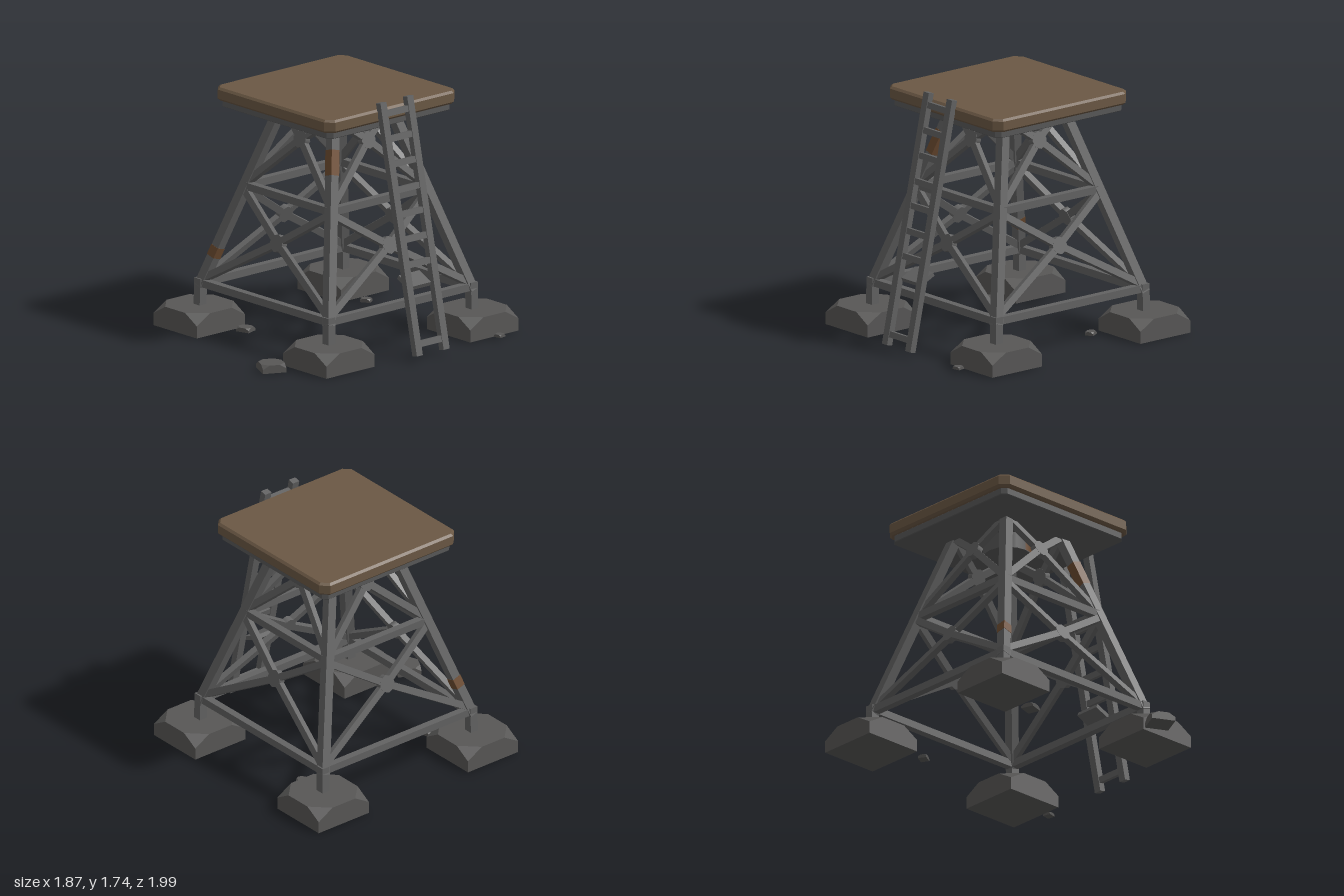
import * as THREE from 'three';
import { ConvexGeometry } from 'three/addons/geometries/ConvexGeometry.js';

const V = (x, y, z) => new THREE.Vector3(x, y, z);
const flat = (name, color) => {
  const m = new THREE.MeshStandardMaterial({ color });
  m.name = name;
  return m;
};

export function createModel() {
  const steel = flat('steel', 0x626262);
  const darkSteel = flat('dark steel', 0x585858);
  const concrete = flat('concrete', 0x585756);
  const brown = flat('brown deck', 0x6b5844);
  const rust = flat('rust', 0x6e4c31);

  const root = new THREE.Group();
  root.name = 'tower';
  const frame = new THREE.Group();
  frame.name = 'frame';
  frame.position.set(-0.066, 0, -0.128);
  root.add(frame);

  const add = (parent, name, geo, mat, x = 0, y = 0, z = 0) => {
    const m = new THREE.Mesh(geo, mat);
    m.name = name;
    m.position.set(x, y, z);
    parent.add(m);
    return m;
  };

  // Square bar from a to b; its depth runs along the hint direction
  const beam = (parent, name, a, b, w, d, mat = steel, hint = V(0, 0, 1)) => {
    const dir = b.clone().sub(a);
    const len = dir.length();
    dir.normalize();
    const side = dir.clone().cross(hint).normalize();
    const out = side.clone().cross(dir);
    const m = add(parent, name, new THREE.BoxGeometry(w, len, d), mat);
    m.quaternion.setFromRotationMatrix(new THREE.Matrix4().makeBasis(side, dir, out));
    m.position.copy(a).add(b).multiplyScalar(0.5);
    return m;
  };

  // Block with its upper corners cut away
  const cutBlock = (w, h, d, cut, low) => {
    const pts = [];
    for (const sx of [-1, 1]) for (const sz of [-1, 1]) {
      const x = sx * w / 2, z = sz * d / 2;
      pts.push(V(x, 0, z), V(x, low, z), V(x - sx * cut, h, z), V(x, h, z - sz * cut));
    }
    return new ConvexGeometry(pts);
  };

  // Distance of the leg centre line from the axis at height y
  const off = y => 0.645 - 0.38 * (y - 0.3) / 1.24;
  const legPoint = (sx, sz, y) => V(sx * off(y), y, sz * off(y));

  // Footings, posts and leaning legs
  for (const sx of [-1, 1]) for (const sz of [-1, 1]) {
    add(frame, 'footing', cutBlock(0.44, 0.155, 0.44, 0.12, 0.085), concrete, sx * 0.655, 0, sz * 0.655);
    beam(frame, 'post', V(sx * 0.652, 0.12, sz * 0.652), V(sx * 0.648, 0.34, sz * 0.648), 0.062, 0.062);
    beam(frame, 'leg', legPoint(sx, sz, 0.28), legPoint(sx, sz, 1.57), 0.065, 0.065);
  }
  // Rusted lengths of leg
  beam(frame, 'rustPatch', legPoint(1, 1, 1.22), legPoint(1, 1, 1.38), 0.069, 0.069, rust);
  beam(frame, 'rustPatch', legPoint(-1, 1, 0.49), legPoint(-1, 1, 0.56), 0.069, 0.069, rust);

  // Beams and crossed braces, repeated on the four sides
  const at = (x, y) => V(x, y, off(y));
  const normal = V(0, 0.293, 0.956);
  for (let i = 0; i < 4; i++) {
    const side = new THREE.Group();
    side.name = 'sideBracing';
    side.rotation.y = i * Math.PI / 2;
    frame.add(side);
    for (const y of [0.308, 0.998]) {
      beam(side, 'crossBeam', at(-off(y), y), at(off(y), y), 0.052, 0.052);
    }
    for (const [mid, low, high] of [[0.695, 0.34, 0.97], [1.39, 1.03, 1.57]]) {
      for (const s of [-1, 1]) for (const y of [low, high]) {
        beam(side, 'brace', at(0, mid), at(s * (off(y) - 0.01), y), 0.048, 0.042, steel, normal);
      }
      const plate = add(side, 'gusset', new THREE.CylinderGeometry(0.062, 0.062, 0.044, 8), steel, 0, mid, off(mid));
      plate.quaternion.setFromUnitVectors(V(0, 1, 0), normal.clone().normalize());
    }
  }

  // Slab with clipped corners and bevelled rims, lying flat from y = 0
  const slab = (half, clip, height, bevel) => {
    const h = half - bevel, c = h - clip;
    const outline = [[c, -h], [h, -c], [h, c], [c, h], [-c, h], [-h, c], [-h, -c], [-c, -h]];
    return new THREE.ExtrudeGeometry(new THREE.Shape(outline.map(p => new THREE.Vector2(...p))), {
      depth: height - 2 * bevel, bevelEnabled: true, bevelThickness: bevel, bevelSize: bevel, bevelSegments: 1,
    }).rotateX(-Math.PI / 2).translate(0, bevel, 0);
  };
  add(frame, 'deck', slab(0.592, 0.045, 0.092, 0.015), brown, 0, 1.6, 0);
  add(frame, 'deckSupport', slab(0.56, 0.03, 0.05, 0.004), darkSteel, 0, 1.553, 0);

  // Round hub below the deck, rusted on one side
  add(frame, 'hub', new THREE.CylinderGeometry(0.168, 0.168, 0.115, 16), darkSteel, 0, 1.4975, 0);
  add(frame, 'hubRust', new THREE.CylinderGeometry(0.172, 0.172, 0.113, 6, 1, true, 0, Math.PI * 0.65), rust, 0, 1.4975, 0);

  // Leaning ladder
  const ladder = new THREE.Group();
  ladder.name = 'ladder';
  root.add(ladder);
  const railX = y => 0.9 - 0.37 * (y - 0.03) / 1.71;
  for (const z of [-0.003, -0.247]) {
    beam(ladder, 'rail', V(railX(0.035), 0.035, z), V(railX(1.74), 1.74, z), 0.046, 0.055);
  }
  for (const y of [0.11, 0.64, 0.81, 0.98, 1.145, 1.32, 1.49, 1.66]) {
    const rung = add(ladder, 'rung', new THREE.BoxGeometry(0.036, 0.042, 0.22), steel, railX(y), y, -0.125);
    rung.rotation.z = 0.21;
  }
  beam(ladder, 'looseRung', V(0.668, 0.535, -0.125), V(0.79, 0.478, -0.125), 0.03, 0.19);

  // Loose rubble: x, y, z, width, height, depth, turn
  for (const [x, y, z, w, h, d, turn] of [
    [0.4, 0, 0.88, 0.165, 0.056, 0.165, -0.45],
    [-0.37, 0.02, 0.42, 0.1, 0.03, 0.09, 0.3],
    [-0.35, 0.02, -0.66, 0.07, 0.025, 0.06, 0.5],
    [0.897, 0.025, -0.75, 0.056, 0.02, 0.056, 0.2],
  ]) {
    add(root, 'rubble', cutBlock(w, h, d, w * 0.28, h * 0.5), concrete, x, y, z).rotation.y = turn;
  }
  return root;
}
